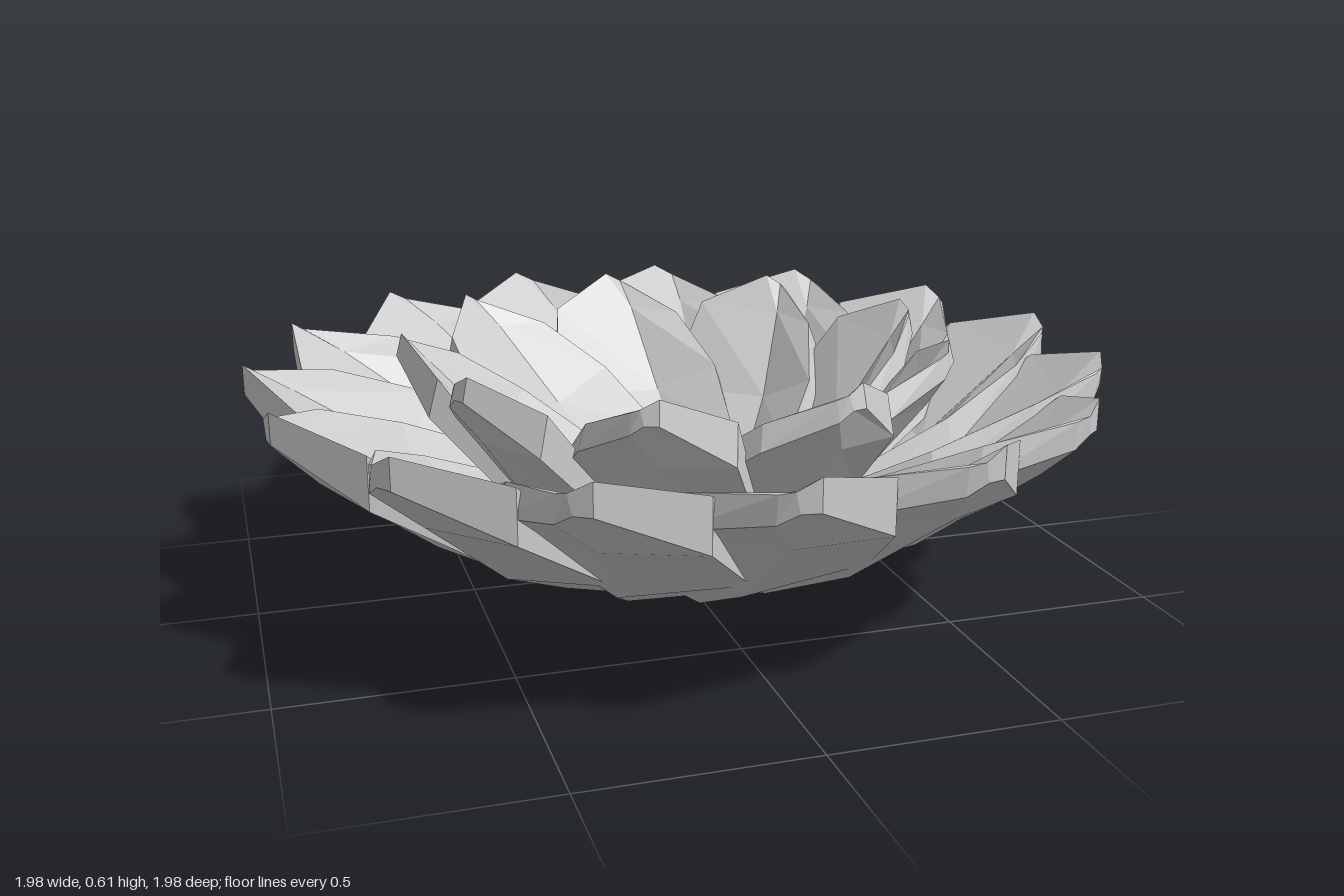
import * as THREE from 'three';

// Petal rows from root to tip: far edge (r, side), middle r, near edge (r, side),
// lift of the far and near edges above the bowl, thickness at far edge and elsewhere
const ROWS = [
  [0.02, -0.04, 0.03, 0.0, 0.1, 0.01, 0.02, 0.03, 0.04],
  [0.15, -0.12, 0.16, 0.12, 0.2, 0.02, 0.08, 0.04, 0.06],
  [0.34, -0.2, 0.38, 0.32, 0.3, 0.025, 0.13, 0.05, 0.075],
  [0.62, -0.25, 0.62, 0.58, 0.31, 0.02, 0.13, 0.075, 0.075],
  [0.87, -0.2, 0.89, 0.81, 0.23, 0.0, 0.08, 0.12, 0.075],
  [0.995, 0.0, 0.99, 0.97, 0.08, 0.0, 0.0, 0.07, 0.06],
];

// A thick, cupped leaf lying along +x, tilted so one side overlaps its neighbour
function petalGeometry() {
  const bowl = (x, z) => {
    const s = x * x + z * z;
    return 0.45 * s + 0.05 * s ** 3;
  };
  const pos = [];
  for (const [fx, fz, mx, nx, nz, farLift, nearLift, farThick, thick] of ROWS) {
    const mz = (fz + nz) / 2;
    const cz = mz + (nz - mz) * 0.25;
    const fy = bowl(fx, fz) + farLift;
    const my = bowl(mx, mz);
    const ny = bowl(nx, nz) + nearLift;
    // Underside hugs the bowl, inner face is creased closer to the raised near edge
    pos.push(fx, fy, fz, mx, my + 0.005, mz, nx, ny, nz);
    pos.push(nx, ny + thick, nz + (mz - nz) * 0.1);
    pos.push(mx, bowl(mx, cz) + nearLift * 0.45 + thick * 0.8, cz);
    pos.push(fx, fy + farThick, fz);
  }
  const idx = [];
  const quad = (a, b, c, d) => idx.push(a, b, c, a, c, d);
  for (let i = 0; i < ROWS.length - 1; i++) {
    for (let j = 0; j < 6; j++) {
      const k = (j + 1) % 6;
      quad(i * 6 + j, i * 6 + 6 + j, i * 6 + 6 + k, i * 6 + k);
    }
  }
  // End caps
  const e = (ROWS.length - 1) * 6;
  quad(0, 1, 4, 5);
  quad(1, 2, 3, 4);
  quad(e + 5, e + 4, e + 1, e);
  quad(e + 4, e + 3, e + 2, e + 1);

  const g = new THREE.BufferGeometry();
  g.setAttribute('position', new THREE.Float32BufferAttribute(pos, 3));
  g.setIndex(idx);
  const flat = g.toNonIndexed();
  flat.computeVertexNormals();
  return flat;
}

export function createModel() {
  const model = new THREE.Group();
  model.name = 'lotusBowl';
  const material = new THREE.MeshStandardMaterial({ color: 0xcccccc, flatShading: true });
  const geometry = petalGeometry();

  // Ring of petals: count, angle of the first one, size and upward pitch
  function ring(name, count, startDeg, size, pitchDeg) {
    const group = new THREE.Group();
    group.name = name + 's';
    for (let i = 0; i < count; i++) {
      const petal = new THREE.Mesh(geometry, material);
      petal.name = name;
      petal.scale.setScalar(size);
      petal.rotation.set(0, -THREE.MathUtils.degToRad(startDeg + (i * 360) / count),
        THREE.MathUtils.degToRad(pitchDeg), 'YXZ');
      group.add(petal);
    }
    model.add(group);
  }
  ring('outerPetal', 15, -4.8, 1, 0);
  ring('innerPetal', 9, -90.5, 0.775, 14.5);
  return model;
}
